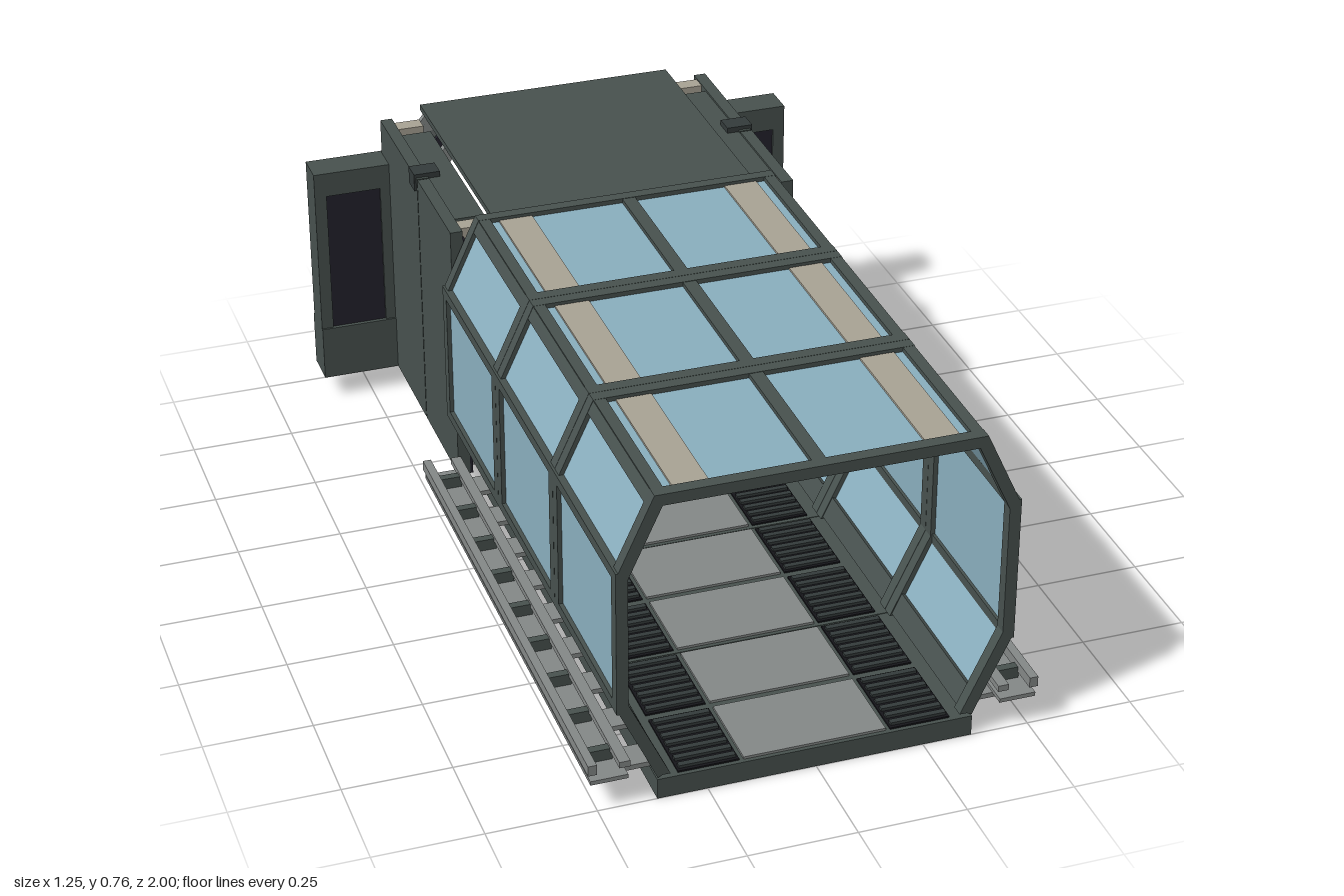
import * as THREE from 'three';

const mat = (name, color) => Object.assign(new THREE.MeshStandardMaterial({ color }), { name });

export function createModel() {
  const frame = mat('green grey frame', 0x48524f);
  const glass = mat('blue glass', 0x8bb0c0);
  const beige = mat('beige panel', 0xaaa495);
  const grey = mat('light grey metal', 0x858988);
  const purple = mat('dark recess', 0x24222d);
  const black = mat('black underside', 0x15151a);
  const orange = mat('orange marking', 0xb87c36);
  const tread = mat('dark tread', 0x343b3b);

  const root = new THREE.Group();
  root.name = 'airlockCorridor';

  const add = (name, geo, m, parent = root) => {
    const mesh = new THREE.Mesh(geo, m);
    mesh.name = name;
    parent.add(mesh);
    return mesh;
  };
  // box given by its limits
  const box = (name, m, x0, x1, y0, y1, z0, z1, parent) => {
    const b = add(name, new THREE.BoxGeometry(x1 - x0, y1 - y0, z1 - z0), m, parent);
    b.position.set((x0 + x1) / 2, (y0 + y1) / 2, (z0 + z1) / 2);
    return b;
  };
  // the same box on both sides
  const pair = (name, m, x0, x1, ...rest) => {
    box(name + 'Left', m, x0, x1, ...rest);
    box(name + 'Right', m, -x1, -x0, ...rest);
  };
  // arch open at the floor, from half profiles running top to bottom
  const arch = (name, m, outer, inner, z0, z1) => {
    const flip = (p) => p.map(([x, y]) => [-x, y]);
    const pts = [...flip(outer).reverse(), ...outer, ...[...inner].reverse(), ...flip(inner)];
    const shape = new THREE.Shape(pts.map(([x, y]) => new THREE.Vector2(x, y)));
    const geo = new THREE.ExtrudeGeometry(shape, { depth: z1 - z0, bevelEnabled: false });
    add(name, geo, m).position.z = z0;
  };
  // thin bar in the xy plane between two points, mirrored to both sides
  const slant = (name, m, a, b, width, z0, z1) => {
    for (const s of [1, -1]) {
      const dx = (b[0] - a[0]) * s, dy = b[1] - a[1];
      const bar = add(name, new THREE.BoxGeometry(Math.hypot(dx, dy), width, z1 - z0), m);
      bar.position.set(s * (a[0] + b[0]) / 2, (a[1] + b[1]) / 2, (z0 + z1) / 2);
      bar.rotation.z = Math.atan2(dy, dx);
    }
  };

  // ---- glazed tunnel ----
  const hullOut = [[0.37, 0.765], [0.455, 0.58], [0.455, 0.25], [0.365, 0.06]];
  const hullIn = [[0.352, 0.738], [0.428, 0.573], [0.428, 0.257], [0.335, 0.06]];
  const glassOut = [[0.363, 0.754], [0.445, 0.578], [0.445, 0.252], [0.354, 0.06]];
  const glassIn = [[0.36, 0.748], [0.439, 0.577], [0.439, 0.253], [0.348, 0.06]];
  const joints = [1, 0.56, 0.12, -0.32];
  for (let i = 0; i < 3; i++) {
    const z1 = joints[i], z0 = joints[i + 1];
    arch('glazing', glass, glassOut, glassIn, z0 + 0.02, z1 - 0.02);
    arch('ribFront', frame, hullOut, hullIn, z1 - 0.03, z1);
    arch('ribBack', frame, hullOut, hullIn, z0 + 0.001, z0 + 0.03);
    pair('roofStrip', beige, 0.24, 0.32, 0.751, 0.759, z0 + 0.033, z1 - 0.033);
    pair('ceilingStrip', beige, 0.24, 0.32, 0.741, 0.747, z0 + 0.033, z1 - 0.033);
    box('floorSlab', frame, -0.365, 0.365, 0, 0.05, z0 + 0.002, z1);
    for (let j = 0; j < 2; j++) {
      const a = z0 + 0.01 + j * 0.22;
      box('walkwayPlate', grey, -0.165, 0.165, 0.05, 0.056, a, a + 0.2);
      pair('gratingBase', black, 0.175, 0.315, 0.05, 0.054, a, a + 0.2);
      for (let k = 0; k < 7; k++)
        pair('gratingSlat', tread, 0.18, 0.31, 0.054, 0.061, a + 0.01 + k * 0.028, a + 0.024 + k * 0.028);
    }
  }
  // long beams on the corners of the hull
  box('ridgeBeam', frame, -0.016, 0.016, 0.74, 0.764, -0.32, 1);
  slant('roofBeam', frame, [0.342, 0.752], [0.369, 0.752], 0.025, -0.32, 1);
  slant('eaveBeam', frame, [0.359, 0.758], [0.372, 0.73], 0.024, -0.32, 1);
  pair('upperSideBeam', frame, 0.432, 0.455, 0.568, 0.592, -0.32, 1);
  pair('lowerSideBeam', frame, 0.432, 0.455, 0.238, 0.262, -0.32, 1);
  slant('sillBeam', frame, [0.352, 0.06], [0.375, 0.11], 0.026, -0.32, 1);

  // ---- service rails beside the tunnel ----
  pair('railTray', grey, 0.43, 0.515, 0.07, 0.08, -0.32, 1);
  pair('railLip', grey, 0.5, 0.52, 0.095, 0.12, -0.32, 1);
  pair('railInnerLip', grey, 0.425, 0.45, 0.1, 0.115, -0.32, 1);
  for (let i = 0; i < 9; i++) {
    const z = -0.25 + i * 0.147;
    pair('railClamp', frame, 0.445, 0.502, 0.08, 0.108, z - 0.01, z + 0.01);
    pair('railFoot', grey, 0.36, 0.5, 0.06, 0.072, z - 0.035, z + 0.035);
  }

  // ---- door frames at both ends of the chamber ----
  const doorOut = [[0.29, 0.73], [0.425, 0.56], [0.425, 0.25], [0.355, 0.062]];
  const doorMid = [[0.27, 0.682], [0.385, 0.535], [0.385, 0.25], [0.34, 0.17], [0.34, 0.062]];
  const sealMid = [[0.257, 0.66], [0.357, 0.53], [0.357, 0.235], [0.325, 0.18], [0.325, 0.062]];
  const sealIn = [[0.24, 0.625], [0.322, 0.515], [0.322, 0.23], [0.29, 0.185], [0.29, 0.062]];
  for (const [z, s] of [[-0.32, 1], [-1, -1]]) {
    const layer = (name, m, o, i, near, far) => {
      const a = z - s * near, b = z - s * far;
      arch(name, m, o, i, Math.min(a, b), Math.max(a, b));
    };
    layer('doorFrame', frame, doorOut, doorMid, 0.002, 0.03);
    layer('doorGasket', purple, doorMid, sealMid, 0.012, 0.04);
    layer('doorLining', grey, sealMid, sealIn, 0.02, 0.06);
    // orange dashes on the face
    const za = z - s * 0.002 - 0.002, zb = za + 0.004;
    for (let i = 0; i < 9; i++) box('topDash', orange, -0.13 + i * 0.029, -0.104 + i * 0.029, 0.702, 0.708, za, zb);
    pair('sideDash', orange, 0.403, 0.408, 0.345, 0.45, za, zb);
    slant('upperDash', orange, [0.31, 0.635], [0.37, 0.562], 0.008, za, zb);
    slant('lowerDash', orange, [0.395, 0.235], [0.365, 0.155], 0.006, za, zb);
  }
  const rimOut = [[0.3, 0.738], [0.44, 0.565], [0.44, 0.245], [0.37, 0.06]];
  arch('rearRim', grey, rimOut, doorMid, -0.985, -0.97);

  // ---- chamber ----
  box('chamberRoof', frame, -0.325, 0.325, 0.735, 0.75, -0.975, -0.322);
  box('chamberCeiling', beige, -0.25, 0.25, 0.7, 0.735, -0.94, -0.36);
  for (let i = 0; i < 2; i++) for (let k = 0; k < 5; k++)
    pair('ceilingVent', black, 0.06, 0.2, 0.696, 0.701, -0.85 + i * 0.28 + k * 0.03, -0.835 + i * 0.28 + k * 0.03);
  box('chamberUnderside', black, -0.315, 0.315, 0.03, 0.04, -0.97, -0.322);
  box('chamberFloor', tread, -0.315, 0.315, 0.04, 0.052, -0.975, -0.322);
  for (let i = 0; i < 4; i++) for (let k = 0; k < 4; k++) {
    const x = -0.3 + i * 0.152, z = -0.965 + k * 0.16;
    box('floorTile', frame, x, x + 0.142, 0.052, 0.058, z, z + 0.15);
    box('floorTileGrip', black, x + 0.02, x + 0.122, 0.057, 0.06, z + 0.07, z + 0.085);
  }
  // side walls with two equipment bays each
  for (const [z0, z1] of [[-0.97, -0.622], [-0.618, -0.325]]) {
    pair('outerWall', frame, 0.4, 0.43, 0.06, 0.725, z0, z1);
    pair('bayBack', purple, 0.393, 0.4, 0.06, 0.7, z0, z1);
    const a = Math.max(z0, -0.93), b = Math.min(z1, -0.36);
    pair('bayLocker', grey, 0.335, 0.395, 0.06, 0.26, a, b);
    pair('bayHeader', frame, 0.335, 0.4, 0.58, 0.7, a, b);
    pair('bayPostBack', grey, 0.335, 0.395, 0.26, 0.58, a, a + 0.03);
    pair('bayPostFront', grey, 0.335, 0.395, 0.26, 0.58, b - 0.03, b);
    pair('bayShelf', frame, 0.345, 0.395, 0.405, 0.42, a + 0.03, b - 0.03);
    pair('shelfEdge', orange, 0.341, 0.346, 0.408, 0.417, a + 0.03, b - 0.03);
    pair('equipmentCase', beige, 0.35, 0.39, 0.42, 0.48, a + 0.06, a + 0.13);
    pair('equipmentBin', grey, 0.35, 0.39, 0.26, 0.34, b - 0.14, b - 0.06);
    for (let k = 0; k < 4; k++)
      pair('lockerSlot', black, 0.332, 0.336, 0.19, 0.215, a + 0.04 + k * 0.05, a + 0.075 + k * 0.05);
  }
  pair('wallCap', frame, 0.325, 0.415, 0.7, 0.72, -0.88, -0.4);
  pair('cornerBlockFront', beige, 0.335, 0.41, 0.6, 0.722, -0.385, -0.345);
  pair('cornerBlockBack', beige, 0.335, 0.41, 0.66, 0.722, -0.95, -0.91);
  pair('wallClamp', tread, 0.37, 0.435, 0.69, 0.734, -0.68, -0.63);

  // ---- equipment cabinets flanking the rear door ----
  const cz0 = -0.982, cz1 = -0.9;
  pair('cabinetOuterPost', frame, 0.593, 0.623, 0.18, 0.635, cz0, cz1);
  pair('cabinetInnerPost', frame, 0.425, 0.455, 0.18, 0.635, cz0, cz1);
  pair('cabinetTop', frame, 0.455, 0.593, 0.572, 0.635, cz0, cz1);
  pair('cabinetBase', frame, 0.425, 0.623, 0.06, 0.2, cz0 - 0.008, cz1 + 0.005);
  pair('cabinetPanel', purple, 0.455, 0.593, 0.2, 0.572, -0.925, -0.905);
  pair('cabinetShelf', frame, 0.455, 0.593, 0.37, 0.385, -0.972, -0.92);
  pair('cabinetCase', beige, 0.49, 0.55, 0.385, 0.44, -0.965, -0.925);
  pair('cabinetUnit', tread, 0.475, 0.575, 0.2, 0.31, -0.97, -0.925);
  pair('cabinetUnitHandle', grey, 0.5, 0.55, 0.275, 0.287, -0.976, -0.968);
  pair('cabinetHeadLamp', grey, 0.48, 0.57, 0.53, 0.56, -0.965, -0.925);
  for (let k = 0; k < 3; k++)
    pair('baseMarking', orange, 0.497 + k * 0.022, 0.51 + k * 0.022, 0.12, 0.14, -0.994, -0.989);

  return root;
}
